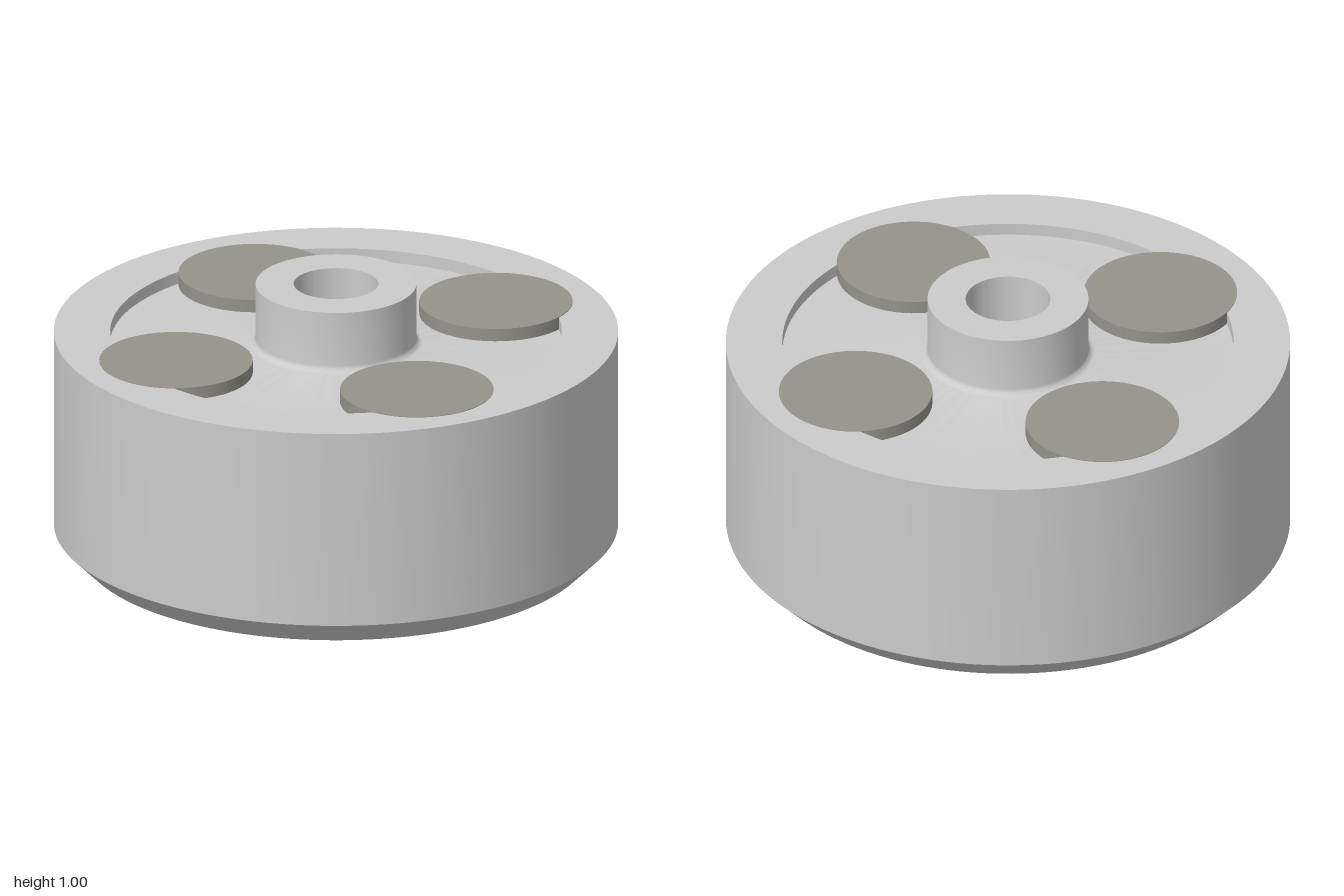
import * as THREE from 'three';
import { toCreasedNormals } from 'three/addons/utils/BufferGeometryUtils.js';

export function createModel() {
  const model = new THREE.Group();
  const grey = new THREE.MeshStandardMaterial({ color: 0xcccccc });
  const dark = new THREE.MeshStandardMaterial({ color: 0x959389 });

  const rimY = 0.82, floorY = 0.775, hubR = 0.285, boreR = 0.15, fillet = 0.025;

  // Body: closed cross-section, up the outside, across the recess and hub, down the bore
  const profile = [
    [boreR, 0], [0.91, 0], [1, 0.09], [1, rimY], [0.8, rimY], [0.8, floorY],
  ].map(([r, y]) => new THREE.Vector2(r, y));

  // Rounded foot where the recess floor meets the hub
  for (let i = 0; i <= 6; i++) {
    const a = (i / 6) * Math.PI / 2;
    profile.push(new THREE.Vector2(
      hubR + fillet * (1 - Math.sin(a)),
      floorY + fillet * (1 - Math.cos(a))
    ));
  }
  for (const [r, y] of [[hubR, 1], [boreR, 1], [boreR, 0]]) profile.push(new THREE.Vector2(r, y));

  const body = new THREE.Mesh(
    toCreasedNormals(new THREE.LatheGeometry(profile, 128), Math.PI / 6), grey);
  body.name = 'wheelBody';
  model.add(body);

  // Four round inserts, level with the rim and standing in the recess
  const insertGeometry = new THREE.CylinderGeometry(0.272, 0.272, 0.06, 64);
  for (let i = 0; i < 4; i++) {
    const a = i * Math.PI / 2;
    const insert = new THREE.Mesh(insertGeometry, dark);
    insert.name = 'insert' + (i + 1);
    insert.position.set(0.635 * Math.cos(a), rimY + 0.002 - 0.03, 0.635 * Math.sin(a));
    model.add(insert);
  }
  return model;
}
